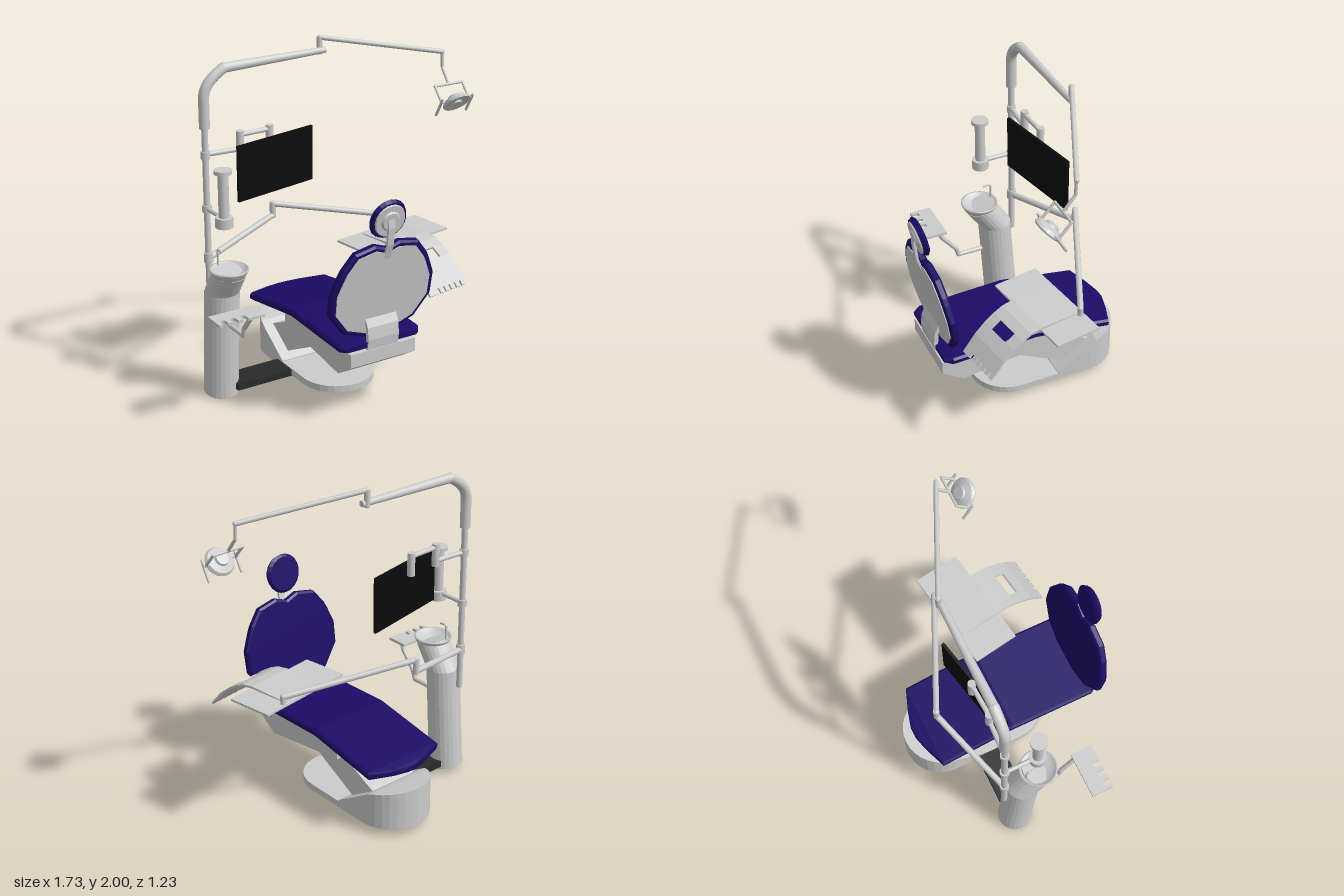
import * as THREE from 'three';

const mat = (color, o = {}) => new THREE.MeshStandardMaterial({ color, side: THREE.DoubleSide, ...o });
const grey = mat(0xcccccc), flatGrey = mat(0xcccccc, { flatShading: true });
const blue = mat(0x1c0a66, { flatShading: true }), black = mat(0x0c0c0c), dark = mat(0x2a2a2a);
const V = (p) => new THREE.Vector3(...p);

function add(parent, name, geo, material = grey, pos = [0, 0, 0]) {
  const m = new THREE.Mesh(geo, material);
  m.name = name;
  m.position.set(...pos);
  parent.add(m);
  return m;
}

// straight round bar between two points
function rod(parent, name, a, b, r, r2 = r) {
  const d = V(b).sub(V(a));
  const m = add(parent, name, new THREE.CylinderGeometry(r2, r, d.length(), 16));
  m.position.copy(V(a)).addScaledVector(d, 0.5);
  m.quaternion.setFromUnitVectors(new THREE.Vector3(0, 1, 0), d.normalize());
  return m;
}

// upright cylinder
const post = (parent, name, x, z, y0, y1, r) => rod(parent, name, [x, y0, z], [x, y1, z], r);

// bar following points with small joints at the corners
function bentBar(parent, name, pts, r) {
  const g = new THREE.Group();
  g.name = name;
  parent.add(g);
  pts.forEach((p, i) => {
    add(g, name + 'Joint', new THREE.SphereGeometry(r, 12, 8), grey, p);
    if (i) rod(g, name + 'Bar', pts[i - 1], p, r);
  });
}

// solid through sections [z, halfWidth, yBottom, yTop], z decreasing, edges cut by c
function loft(sections, c = 0) {
  const rings = sections.map(([z, w, a, b]) => [
    [-w + c, a], [w - c, a], [w, a + c], [w, b - c], [w - c, b], [-w + c, b], [-w, b - c], [-w, a + c],
  ].map(([x, y]) => [x, y, z]));
  const out = [];
  const tri = (...ps) => ps.forEach((p) => out.push(...p));
  for (let s = 0; s + 1 < rings.length; s++) {
    const A = rings[s], B = rings[s + 1];
    for (let i = 0; i < 8; i++) {
      const j = (i + 1) % 8;
      tri(A[i], B[i], A[j]);
      tri(A[j], B[i], B[j]);
    }
  }
  const F = rings[0], L = rings[rings.length - 1];
  for (let i = 1; i < 7; i++) {
    tri(F[0], F[i], F[i + 1]);
    tri(L[0], L[i + 1], L[i]);
  }
  const g = new THREE.BufferGeometry();
  g.setAttribute('position', new THREE.Float32BufferAttribute(out, 3));
  g.computeVertexNormals();
  return g;
}

// side profile of [z, y] points extruded across x
function sideExtrude(pts, width) {
  const s = new THREE.Shape(pts.map(([z, y]) => new THREE.Vector2(-z, y)));
  return new THREE.ExtrudeGeometry(s, { depth: width, bevelEnabled: false })
    .translate(0, 0, -width / 2).rotateY(Math.PI / 2);
}

function buildChair(root) {
  const chair = new THREE.Group();
  chair.name = 'chair';
  chair.position.x = 0.015;
  root.add(chair);

  // rounded floor plate and rear housing with a sloping top
  const R = 0.22, plate = [], housing = [[-0.18, R, 0.08, 0.096]];
  for (let i = 0; i <= 8; i++) {
    const a = (i / 8) * Math.PI / 2;
    plate.push([0.06 + R * Math.cos(a), Math.max(0.004, R * Math.sin(a)), 0.05, 0.09]);
  }
  for (let i = 0; i <= 8; i++) {
    const a = (i / 8) * Math.PI / 2, z = -0.39 - R * Math.sin(a);
    const w = Math.max(0.004, R * Math.cos(a));
    plate.push([z, w, 0.05, 0.09]);
    housing.push([z, w, 0.08, z > -0.44 ? 0.096 + (-0.18 - z) * 0.63 : 0.26 + (-0.44 - z) * 0.18]);
  }
  add(chair, 'basePlate', loft(plate), flatGrey);
  add(chair, 'baseHousing', loft(housing), flatGrey);

  // lifting arm and seat frame
  add(chair, 'liftArm', sideExtrude([[0.13, 0.31], [0, 0.4], [-0.13, 0.36], [-0.48, 0.2], [-0.42, 0.08], [-0.22, 0.13]], 0.31), flatGrey);
  add(chair, 'seatFrame', sideExtrude([[0.55, 0.44], [0.55, 0.36], [0.42, 0.275], [-0.16, 0.355], [-0.16, 0.42], [-0.02, 0.47]], 0.425), flatGrey);

  // cushion: flat seat and sloping leg part
  add(chair, 'seatCushion', loft([
    [0.545, 0.235, 0.455, 0.485], [0.5, 0.265, 0.448, 0.492], [-0.02, 0.265, 0.462, 0.51],
    [-0.48, 0.265, 0.385, 0.432], [-0.53, 0.13, 0.38, 0.42], [-0.555, 0.04, 0.382, 0.412],
  ], 0.012), blue);

  // backrest, outlined from half widths and mirrored
  const half = [[0.08, 0.28], [0.2, 0.255], [0.265, 0.17], [0.285, 0.13], [0.325, 0.03], [0.322, -0.1], [0.23, -0.225], [0.1, -0.275]];
  const outline = (k) => new THREE.Shape([[0, 0.25], ...half, ...half.slice().reverse().map(([x, y]) => [-x, y])]
    .map(([x, y]) => new THREE.Vector2(x * k, y * k)));
  const back = new THREE.Group();
  back.name = 'backrest';
  back.position.set(0, 0.78, 0.52);
  back.rotation.x = 0.152;
  chair.add(back);
  add(back, 'backCushion', new THREE.ExtrudeGeometry(outline(0.98), { depth: 0.026, bevelThickness: 0.01, bevelSize: 0.012, bevelSegments: 1 }), blue, [0, 0, -0.015]);
  add(back, 'backShell', new THREE.ExtrudeGeometry(outline(0.92), { depth: 0.012, bevelEnabled: false }), flatGrey, [0, 0, 0.014]);

  // bracket joining the back to the seat frame
  add(chair, 'backBracket', sideExtrude([[0.545, 0.43], [0.553, 0.5], [0.545, 0.57], [0.52, 0.62], [0.505, 0.62], [0.525, 0.56], [0.53, 0.43]], 0.2), flatGrey);

  // round headrest on a flat stem
  const head = new THREE.Group();
  head.name = 'headrest';
  head.position.set(0, 1.2, 0.578);
  head.rotation.x = 0.19;
  chair.add(head);
  const disc = (name, r0, r1, h, z, m) => add(head, name, new THREE.CylinderGeometry(r1, r0, h, 20).rotateX(Math.PI / 2), m, [0, 0, z]);
  disc('headCushionFront', 0.1, 0.116, 0.014, -0.014, blue);
  disc('headCushion', 0.116, 0.105, 0.022, 0.004, blue);
  disc('headShell', 0.097, 0.092, 0.012, 0.018, flatGrey);
  disc('headHub', 0.06, 0.05, 0.01, 0.027, flatGrey);
  add(chair, 'headrestStem', sideExtrude([[0.612, 1.22], [0.617, 1.16], [0.605, 1.06], [0.575, 0.97], [0.562, 0.97], [0.59, 1.06], [0.6, 1.16], [0.597, 1.22]], 0.04), flatGrey);
}

function buildColumn(root) {
  // leaning column with bent top: y, z, end slope, radius for each ring
  const rows = [[0.02, -0.19, 0.17, 0.1], [0.66, -0.145, 0.05, 0.098], [0.805, -0.05, 0.28, 0.088]];
  const geo = new THREE.CylinderGeometry(1, 1, 2, 24, 2), p = geo.attributes.position;
  for (let i = 0; i < p.count; i++) {
    const [y, z, slope, r] = rows[Math.round(p.getY(i)) + 1];
    const dz = p.getZ(i) * r;
    p.setXYZ(i, -0.61 + p.getX(i) * 0.1, y - dz * slope, z + dz);
  }
  geo.computeVertexNormals();
  add(root, 'column', geo, flatGrey);
  add(root, 'floorLink', new THREE.BoxGeometry(0.56, 0.04, 0.165), dark, [-0.28, 0.065, -0.157]);

  // rinsing bowl and spout
  const bowl = [[0, 0.76], [0.05, 0.762], [0.09, 0.785], [0.11, 0.82], [0.11, 0.83], [0.1, 0.83], [0.075, 0.8], [0, 0.785]];
  add(root, 'bowl', new THREE.LatheGeometry(bowl.map((q) => new THREE.Vector2(...q)), 28), grey, [-0.612, 0, -0.05]);
  bentBar(root, 'spout', [[-0.635, 0.8, -0.135], [-0.635, 0.91, -0.135], [-0.635, 0.92, -0.12], [-0.635, 0.915, -0.09]], 0.006);

  // cup tray with three notches
  const s = new THREE.Shape();
  s.moveTo(-0.865, -0.175);
  s.lineTo(-0.865, -0.305);
  for (let i = 0; i < 3; i++) {
    const x = -0.825 + i * 0.06;
    s.lineTo(x - 0.016, -0.305);
    s.absarc(x, -0.275, 0.016, Math.PI, 0, true);
    s.lineTo(x + 0.016, -0.305);
  }
  s.lineTo(-0.59, -0.305);
  s.lineTo(-0.59, -0.175);
  add(root, 'cupTray', new THREE.ExtrudeGeometry(s, { depth: 0.016, bevelEnabled: false }).rotateX(-Math.PI / 2), grey, [0, 0.672, 0]);
  bentBar(root, 'cupTrayArm', [[-0.61, 0.48, -0.06], [-0.61, 0.48, 0.095], [-0.61, 0.53, 0.11], [-0.61, 0.64, 0.2], [-0.61, 0.675, 0.215]], 0.014);
}

function buildPole(root) {
  const px = -0.625, pz = -0.268;
  post(root, 'pole', px, pz, 0.57, 1.6, 0.018);
  // sleeve curving over into the lamp boom
  const path = new THREE.CurvePath();
  path.add(new THREE.LineCurve3(V([px, 1.58, pz]), V([px, 1.74, pz])));
  path.add(new THREE.CubicBezierCurve3(V([px, 1.74, pz]), V([px, 1.82, pz]), V([-0.57, 1.86, pz]), V([-0.5, 1.902, pz])));
  add(root, 'poleSleeve', new THREE.TubeGeometry(path, 28, 0.03, 16));
  add(root, 'sleeveEnd', new THREE.CircleGeometry(0.03, 16).rotateX(Math.PI / 2), grey, [px, 1.58, pz]);
  add(root, 'boomElbow', new THREE.SphereGeometry(0.03, 16, 10), grey, [-0.5, 1.902, pz]);
  rod(root, 'lampBoom', [-0.5, 1.902, pz], [0.145, 1.912, pz], 0.028, 0.018);

  // lamp arm and hanger
  post(root, 'lampPivot', 0.115, -0.278, 1.89, 1.99, 0.016);
  bentBar(root, 'lampArm', [[0.115, 1.985, -0.278], [0.755, 1.878, 0.01]], 0.014);
  bentBar(root, 'lampHanger', [[0.755, 1.878, 0.01], [0.755, 1.79, 0.014], [0.755, 1.705, 0.08]], 0.009);
  // yoke, grips and dish
  bentBar(root, 'lampYoke', [[0.66, 1.625, 0.15], [0.66, 1.705, 0.08], [0.85, 1.705, 0.08], [0.85, 1.625, 0.15]], 0.008);
  for (const d of [-1, 1]) {
    const x = 0.755 + d * 0.105;
    bentBar(root, 'lampGrip', [[0.755 + d * 0.08, 1.625, 0.15], [x, 1.625, 0.15], [x, 1.65, 0.17]], 0.007);
    rod(root, 'lampHandle', [x, 1.64, 0.165], [x, 1.545, 0.11], 0.008);
  }
  const dish = [[0, -0.022], [0.025, -0.022], [0.03, -0.01], [0.08, -0.018], [0.085, -0.008], [0.075, 0.008], [0.04, 0.02], [0.035, 0.032], [0, 0.032]];
  add(root, 'lampDish', new THREE.LatheGeometry(dish.map((q) => new THREE.Vector2(...q)), 24), flatGrey, [0.755, 1.625, 0.155]).rotation.x = -0.785;

  // screen on a jointed bracket
  add(root, 'screen', new THREE.BoxGeometry(0.555, 0.325, 0.016), black, [-0.202, 1.3125, -0.237]).rotation.y = 0.205;
  post(root, 'screenCollar', px, pz, 1.405, 1.45, 0.026);
  rod(root, 'screenArmLower', [px, 1.43, pz], [-0.415, 1.43, -0.255], 0.014);
  post(root, 'screenArmPost', -0.415, -0.255, 1.4, 1.535, 0.022);
  rod(root, 'screenArmUpper', [-0.415, 1.512, -0.255], [-0.222, 1.512, -0.263], 0.014);
  post(root, 'screenMount', -0.222, -0.263, 1.4, 1.535, 0.022);

  // bottle holder
  post(root, 'bottle', px, -0.067, 1.1, 1.39, 0.03);
  post(root, 'bottleCap', px, -0.067, 1.38, 1.402, 0.05);
  post(root, 'bottleBase', px, -0.067, 1.072, 1.13, 0.05);
  rod(root, 'bottleArm', [px, 1.115, -0.067], [px, 1.115, pz], 0.013);
  post(root, 'bottleCollar', px, pz, 1.095, 1.135, 0.027);
}

function buildInstrumentTable(root) {
  // two-part swinging arm
  post(root, 'tableCollar', -0.625, -0.268, 0.79, 0.85, 0.026);
  bentBar(root, 'tableArmLower', [[-0.625, 0.815, -0.268], [-0.11, 0.915, -0.438]], 0.018);
  post(root, 'tableArmPost', -0.11, -0.438, 0.9, 0.995, 0.018);
  bentBar(root, 'tableArmUpper', [[-0.11, 0.985, -0.438], [0.58, 0.87, -0.13]], 0.017);
  post(root, 'tablePivot', 0.58, -0.13, 0.82, 0.88, 0.016);

  const table = new THREE.Group();
  table.name = 'instrumentTable';
  table.position.set(0.4375, 0, 0.0075);
  table.rotation.y = 0.155;
  root.add(table);
  add(table, 'tableTop', new THREE.BoxGeometry(0.617, 0.012, 0.274), grey, [0, 0.825, 0]);

  // curved hanging panel made of slabs, with a slot and a toothed edge
  const slab = (u0, u1, [v0, y0], [v1, y1]) => {
    const dv = v1 - v0, dy = y1 - y0;
    const geo = new THREE.BoxGeometry(u1 - u0, 0.012, Math.hypot(dv, dy) + 0.002);
    add(table, 'panel', geo, grey, [(u0 + u1) / 2, (y0 + y1) / 2, (v0 + v1) / 2]).rotation.x = -Math.atan2(dy, dv);
  };
  const P = [[-0.11, 0.829], [0.13, 0.838], [0.2, 0.828], [0.255, 0.803], [0.315, 0.765], [0.375, 0.715], [0.435, 0.645], [0.455, 0.622]];
  for (let i = 0; i < 6; i++) {
    if (i === 3) {
      slab(-0.135, -0.07, P[i], P[i + 1]);
      slab(0.075, 0.15, P[i], P[i + 1]);
    } else slab(-0.135, 0.15, P[i], P[i + 1]);
  }
  slab(-0.135, -0.07, P[6], P[7]);
  for (let i = 0; i < 5; i++) slab(-0.05 + i * 0.042, -0.022 + i * 0.042, P[6], P[7]);
}

export function createModel() {
  const root = new THREE.Group();
  root.name = 'treatmentUnit';
  buildChair(root);
  buildColumn(root);
  buildPole(root);
  buildInstrumentTable(root);
  return root;
}
